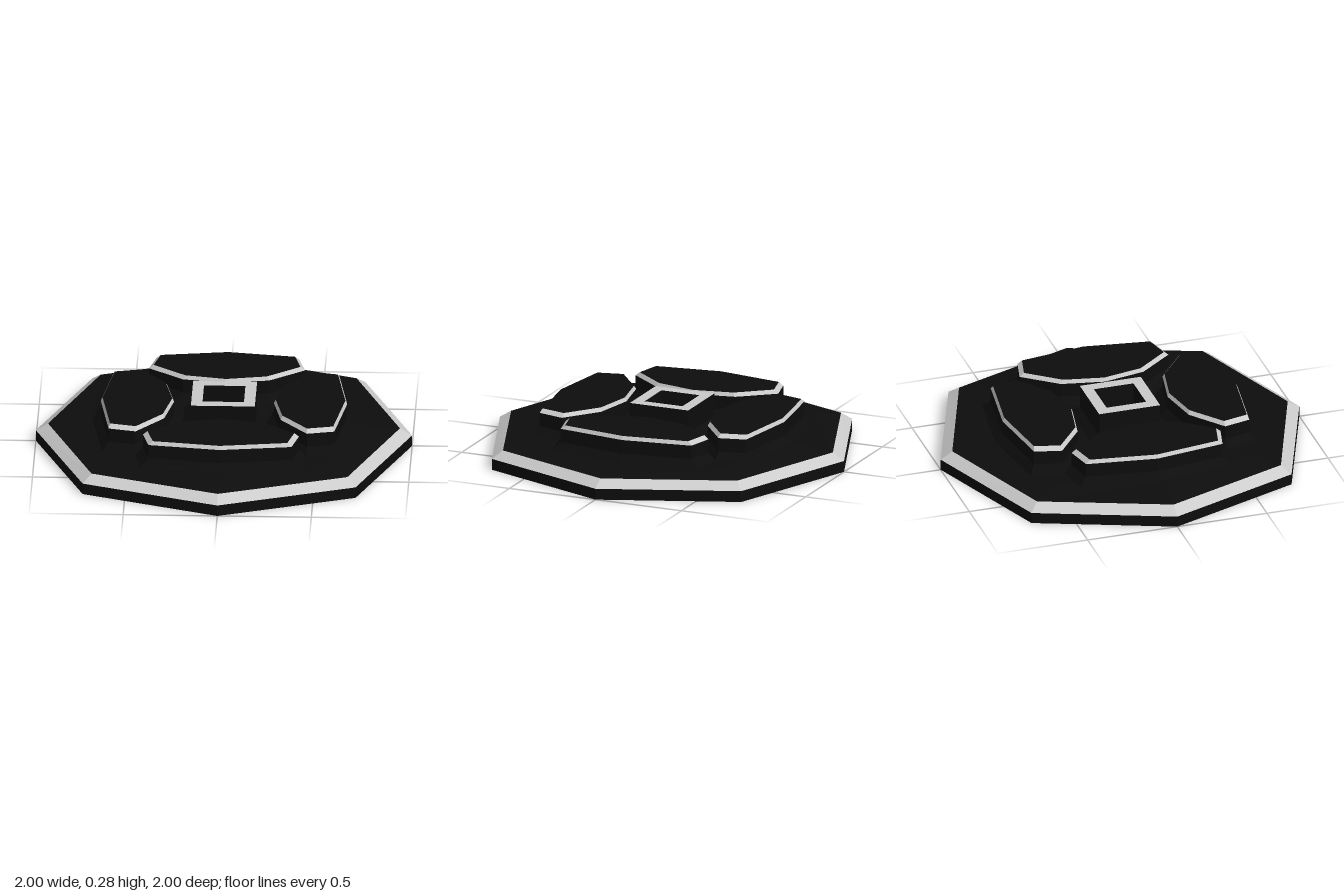
import * as THREE from 'three';

const black = new THREE.MeshStandardMaterial({ color: 0x0d0d0d, flatShading: true });
const grey = new THREE.MeshStandardMaterial({ color: 0xcccccc, flatShading: true });

// Joins outlines [{ pts: [[x, z]...], y }] into a faceted skin; optional caps.
function loft(name, material, rings, { top = false, bottom = false } = {}) {
  const pos = [];
  const put = (ring, i) => {
    const p = ring.pts[i % ring.pts.length];
    pos.push(p[0], ring.y, p[1]);
  };
  const n = rings[0].pts.length;
  for (let r = 0; r < rings.length - 1; r++) {
    const a = rings[r], b = rings[r + 1];
    for (let i = 0; i < n; i++) {
      put(a, i); put(a, i + 1); put(b, i + 1);
      put(a, i); put(b, i + 1); put(b, i);
    }
  }
  const first = rings[0], last = rings[rings.length - 1];
  for (let i = 1; i < n - 1; i++) {
    if (top) { put(last, 0); put(last, i); put(last, i + 1); }
    if (bottom) { put(first, 0); put(first, i + 1); put(first, i); }
  }
  const geometry = new THREE.BufferGeometry();
  geometry.setAttribute('position', new THREE.Float32BufferAttribute(pos, 3));
  geometry.computeVertexNormals();
  const mesh = new THREE.Mesh(geometry, material);
  mesh.name = name;
  return mesh;
}

// Eight-sided outline with separate axis and diagonal reach.
const octagon = (axis, diag, y) => ({
  y,
  pts: Array.from({ length: 8 }, (_, i) => {
    const r = i % 2 ? diag * Math.SQRT2 : axis;
    return [r * Math.sin(i * Math.PI / 4), r * Math.cos(i * Math.PI / 4)];
  }),
});
const square = (h, y) => ({ y, pts: [[-h, h], [h, h], [h, -h], [-h, -h]] });

// Raised pad outline, scaled about its own middle.
const half = [[0.38, 0.6], [0.415, 0.455], [0.23, 0.31]];
const padOutline = [[0, 0.655], ...half, [0, 0.265], ...half.map(([x, z]) => [-x, z]).reverse()];
const padRing = (sx, sz, y) => ({
  y, pts: padOutline.map(([x, z]) => [x * sx, 0.46 + (z - 0.46) * sz]),
});

function createPad() {
  const pad = new THREE.Group();
  pad.name = 'raisedPad';
  const rim = padRing(1, 1, 0.235), crown = padRing(0.94, 0.95, 0.255);
  pad.add(
    loft('padWall', black, [padRing(1.11, 1.23, 0.118), padRing(1, 1, 0.16), rim]),
    loft('padBevel', grey, [rim, crown]),
    loft('padTop', black, [crown], { top: true }),
  );
  return pad;
}

export function createModel() {
  const model = new THREE.Group();
  model.name = 'floorPlate';

  // Octagonal base: dark sides, pale bevel, gently rising deck
  const edge = octagon(1, 0.725, 0.06), deckEdge = octagon(0.935, 0.68, 0.1);
  model.add(
    loft('baseSide', black, [octagon(1, 0.725, 0), edge], { bottom: true }),
    loft('baseBevel', grey, [edge, deckEdge]),
    loft('deck', black, [deckEdge, octagon(0.71, 0.55, 0.12)], { top: true }),
  );

  // Four pads around the middle
  for (let i = 0; i < 4; i++) {
    const pad = createPad();
    pad.rotation.y = i * Math.PI / 2;
    model.add(pad);
  }

  // Square socket with pale rim and a disc at the bottom
  const socket = new THREE.Group();
  socket.name = 'socket';
  const outer = square(0.17, 0.285), inner = square(0.11, 0.285);
  socket.add(
    loft('socketWall', black, [square(0.22, 0.118), square(0.17, 0.16), outer]),
    loft('socketRim', grey, [outer, inner]),
    loft('socketInside', black, [inner, square(0.11, 0.12)]),
    loft('socketDisc', grey, [octagon(0.1, 0.07, 0.12), octagon(0.1, 0.07, 0.135)], { top: true }),
  );
  model.add(socket);
  return model;
}
